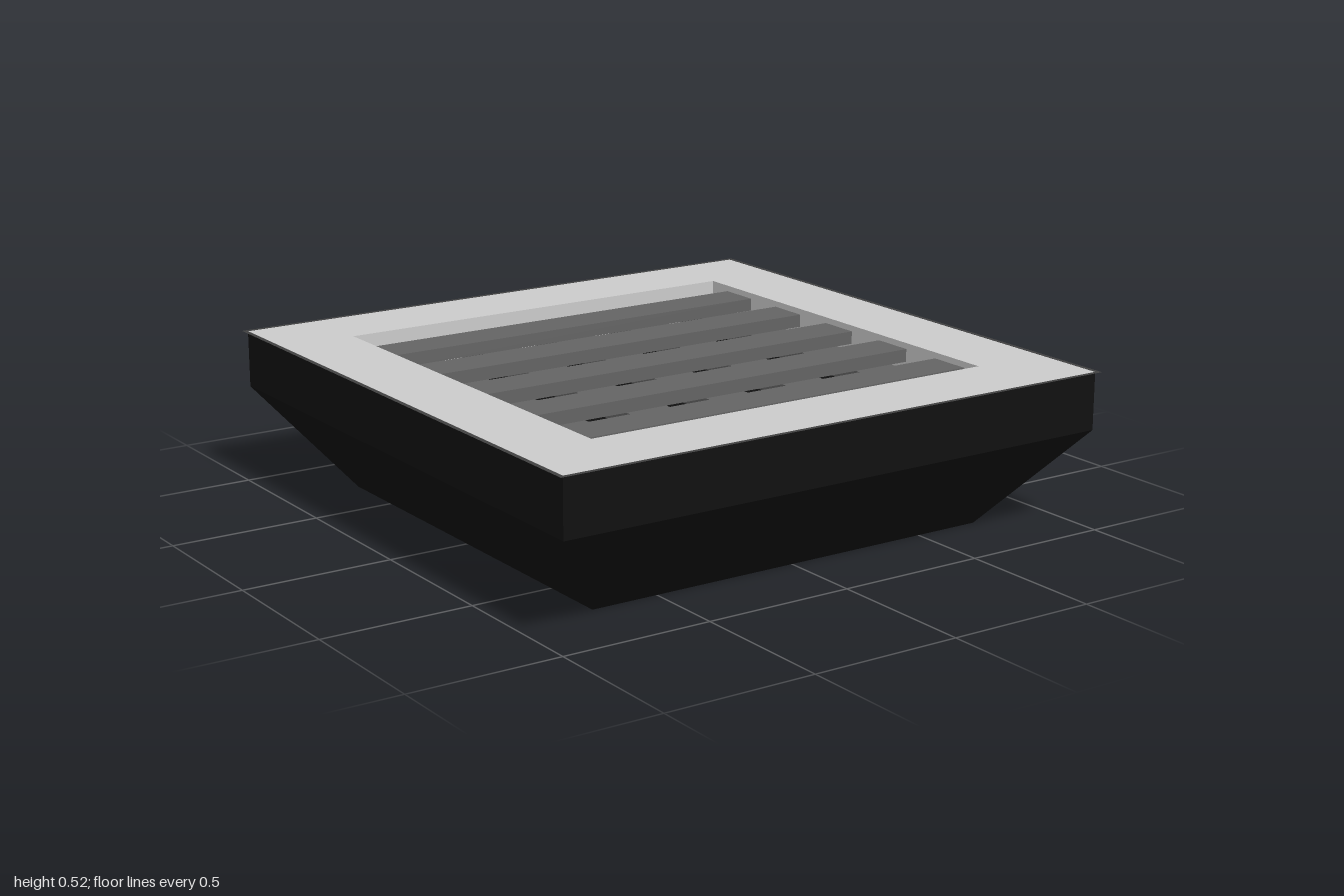
import * as THREE from 'three';

const material = (color, side = THREE.FrontSide) =>
  new THREE.MeshStandardMaterial({ color, side, flatShading: true });

// Square outline of half-width r, with an optional square hole
function squareShape(r, hole) {
  const corners = (h) => [[-h, -h], [h, -h], [h, h], [-h, h]].map(([x, y]) => new THREE.Vector2(x, y));
  const shape = new THREE.Shape(corners(r));
  if (hole) shape.holes.push(new THREE.Path(corners(hole).reverse()));
  return shape;
}

// Four-sided frustum given by half-widths at its top and bottom
function frustum(top, bottom, y0, y1, open) {
  const g = new THREE.CylinderGeometry(top * Math.SQRT2, bottom * Math.SQRT2, y1 - y0, 4, 1, open);
  return g.rotateY(Math.PI / 4).translate(0, (y0 + y1) / 2, 0);
}

export function createModel() {
  const group = new THREE.Group();
  const black = material(0x101010);
  const rimGrey = material(0xcccccc);
  const barGrey = material(0x646464);
  const lipGrey = material(0x404040, THREE.DoubleSide);

  const add = (name, geometry, mat, parent = group) => {
    const mesh = new THREE.Mesh(geometry, mat);
    mesh.name = name;
    parent.add(mesh);
    return mesh;
  };

  const half = 0.985, inner = 0.727, waist = 0.33, top = 0.52;

  // Housing: tapered base, whose top is the recess floor, and upright sides
  add('taperedBase', frustum(half, inner, 0, waist, false), black);
  add('upperSides', frustum(half, half, waist, top, true), black);

  // Rim with the square opening and its inner walls
  const rim = new THREE.ExtrudeGeometry(squareShape(half - 0.001, inner), {
    depth: top - waist - 0.002, bevelEnabled: false,
  });
  add('rim', rim.rotateX(-Math.PI / 2).translate(0, waist + 0.002, 0), rimGrey);

  // Paper-thin lip around the top edge
  const lip = new THREE.ShapeGeometry(squareShape(1, half));
  add('lip', lip.rotateX(-Math.PI / 2).translate(0, top, 0), lipGrey);

  // Grating: cross bars lying on a lower layer of bars
  const grating = new THREE.Group();
  grating.name = 'grating';
  group.add(grating);
  const barHeight = 0.043, upperTop = 0.5;
  for (let i = -2; i <= 2; i++) {
    const cross = add('crossBar', new THREE.BoxGeometry(inner * 2, barHeight, 0.142), barGrey, grating);
    cross.position.set(0, upperTop - barHeight / 2, 0.01 + i * 0.288);
    const lower = add('lowerBar', new THREE.BoxGeometry(0.147, barHeight, inner * 2), barGrey, grating);
    lower.position.set(i * 0.296, upperTop - barHeight * 1.5, 0);
  }
  return group;
}
